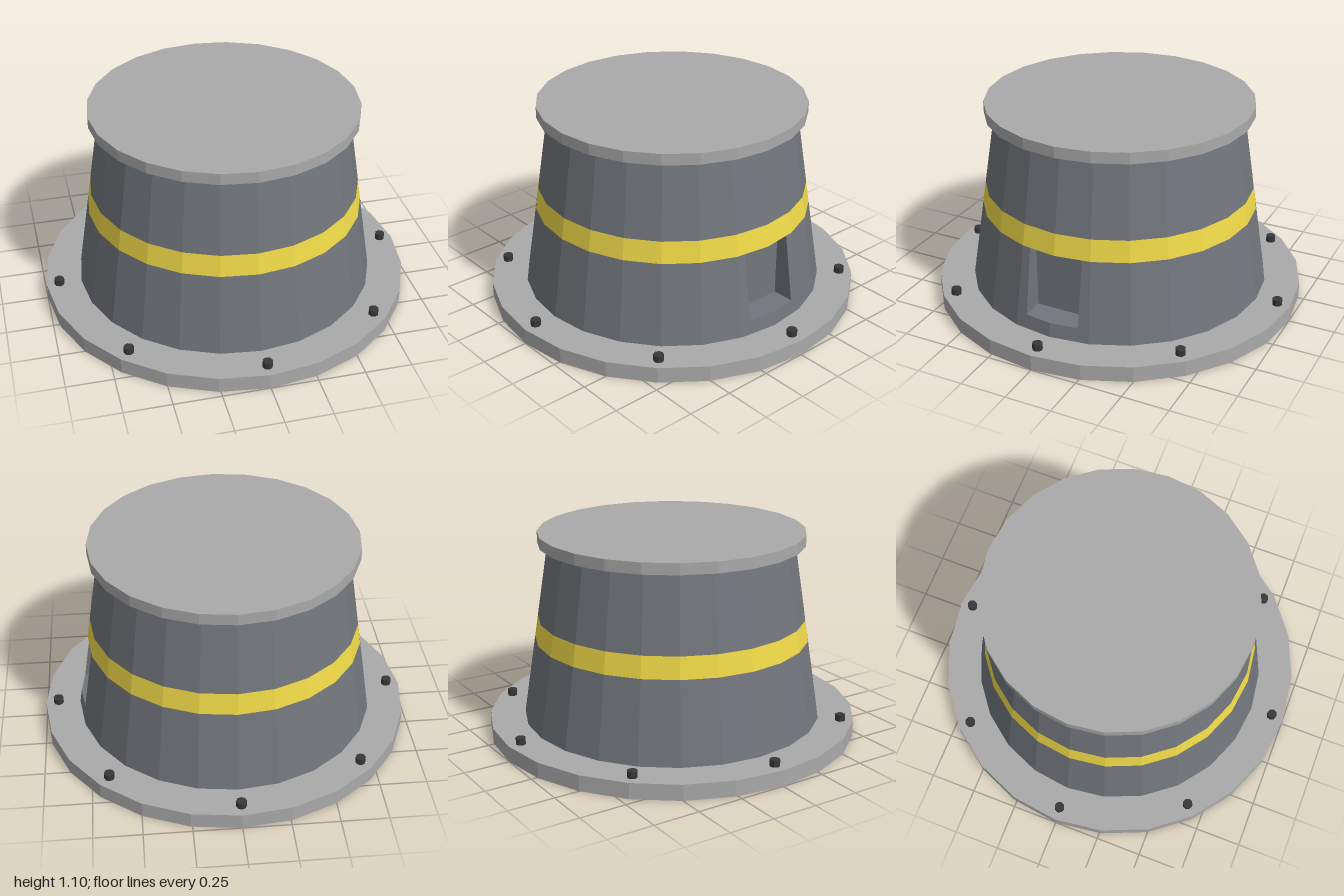
import * as THREE from 'three';

const SIDES = 24;
const STEP = (Math.PI * 2) / SIDES;
const FLANGE_H = 0.085;
const LID_Y = 1.04;

// radius of the tapered housing at height y
const radiusAt = (y) => 0.823 - 0.157 * y;

const paint = (color) => new THREE.MeshStandardMaterial({ color, flatShading: true });

// tapered slice of the housing between two heights
function slice(y0, y1, openEnded = false, start = 0, sides = SIDES) {
  return new THREE.CylinderGeometry(radiusAt(y1), radiusAt(y0), y1 - y0, sides, 1, openEnded, start, sides * STEP)
    .translate(0, (y0 + y1) / 2, 0);
}

// four-cornered faces, corners counter-clockwise from the front
function quads(list) {
  const pos = list.flatMap(([a, b, c, d]) => [a, b, c, a, c, d].flat());
  const geo = new THREE.BufferGeometry();
  geo.setAttribute('position', new THREE.Float32BufferAttribute(pos, 3));
  geo.computeVertexNormals();
  return geo;
}

export function createModel() {
  const group = new THREE.Group();
  const plate = paint(0xaaaaaa);
  const shell = paint(0x72767c);
  const yellow = paint(0xf0da48);
  const dark = paint(0x383838);

  const add = (name, geometry, material) => {
    const mesh = new THREE.Mesh(geometry, material);
    mesh.name = name;
    group.add(mesh);
    return mesh;
  };

  // base flange: ring around the foot of the housing
  const r0 = radiusAt(0);
  const ring = [[r0, 0], [1, 0], [1, FLANGE_H], [radiusAt(FLANGE_H), FLANGE_H]];
  add('baseFlange', new THREE.LatheGeometry(ring.map(([x, y]) => new THREE.Vector2(x, y)), SIDES), plate);

  // housing; the caps of the foot and the band close the recess below and above
  const low = 0.16, high = 0.52, bandTop = 0.635;
  add('housingFoot', slice(0, low), shell);
  add('housingMiddle', slice(low, high, true, Math.PI / 2 + STEP, SIDES - 2), shell);
  add('stripeBand', slice(high, bandTop), yellow);
  add('housingTop', slice(bandTop, LID_Y, true), shell);

  // recessed pocket in the two facets facing +x
  const half = 0.147, back = 0.66;
  const onFacet = (y, z) => [radiusAt(y) - Math.abs(z) * Math.tan(STEP / 2), y, z];
  const corner = (y) => radiusAt(y) * Math.sin(STEP);
  add('pocketSurround', quads([
    [onFacet(low, corner(low)), onFacet(low, half), onFacet(high, half), onFacet(high, corner(high))],
    [onFacet(low, -half), onFacet(low, -corner(low)), onFacet(high, -corner(high)), onFacet(high, -half)],
  ]), shell);
  add('pocketWalls', quads([
    [[back, low, half], [back, low, -half], [back, high, -half], [back, high, half]],
    [onFacet(low, half), [back, low, half], [back, high, half], onFacet(high, half)],
    [[back, low, -half], onFacet(low, -half), onFacet(high, -half), [back, high, -half]],
  ]), shell);

  // lid plate
  add('lid', new THREE.CylinderGeometry(0.714, 0.714, 0.06, SIDES).translate(0, LID_Y + 0.03, 0), plate);

  // eight flange bolts
  const boltGeo = new THREE.CylinderGeometry(0.027, 0.027, 0.04, 8);
  for (let i = 0; i < 8; i++) {
    const a = (i * Math.PI) / 4;
    add('flangeBolt', boltGeo, dark).position.set(Math.sin(a) * 0.93, 0.1, Math.cos(a) * 0.93);
  }

  return group;
}
